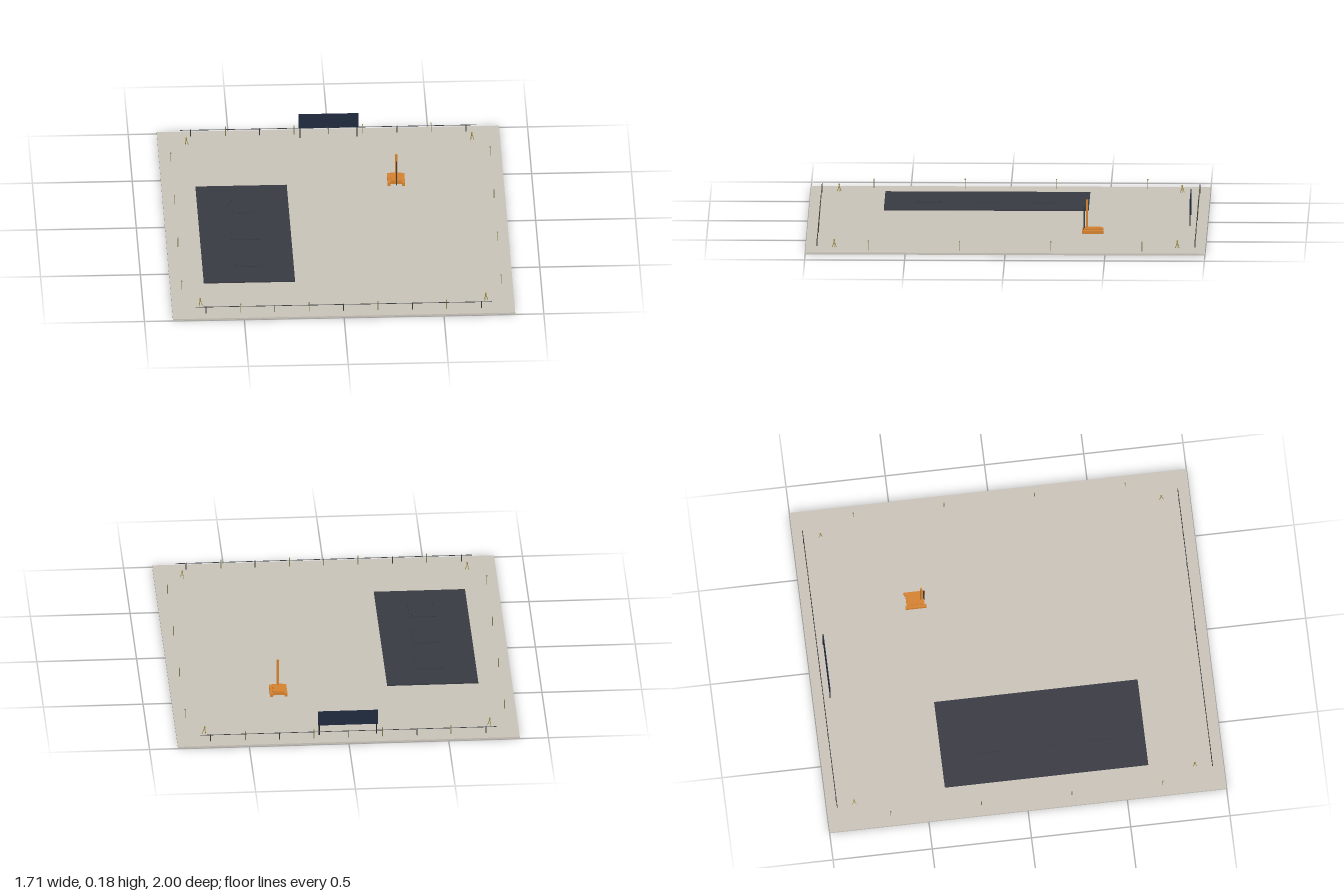
import * as THREE from 'three';

const mat = (color) => new THREE.MeshStandardMaterial({ color });
const M = {
  ground: mat(0xc8c2b8), pad: mat(0x383a42), steel: mat(0x3a3d40), panel: mat(0x1e2a3e),
  orange: mat(0xd4812f), pole: mat(0x8f8a5a), brass: mat(0x9a8a3c), dark: mat(0x222222),
};
const G = 0.01; // ground surface height

// Box given by its bottom centre
function box(parent, name, m, w, h, d, x, y, z) {
  const mesh = new THREE.Mesh(new THREE.BoxGeometry(w, h, d), m);
  mesh.position.set(x, y + h / 2, z);
  mesh.name = name;
  parent.add(mesh);
  return mesh;
}

// Round bar between two points
function bar(parent, name, m, r, a, b) {
  const p = new THREE.Vector3(...a), q = new THREE.Vector3(...b);
  const mesh = new THREE.Mesh(new THREE.CylinderGeometry(r, r, p.distanceTo(q), 8), m);
  mesh.position.copy(p).add(q).multiplyScalar(0.5);
  mesh.quaternion.setFromUnitVectors(new THREE.Vector3(0, 1, 0), q.sub(p).normalize());
  mesh.name = name;
  parent.add(mesh);
}

function group(parent, name, x = 0, y = 0, z = 0) {
  const g = new THREE.Group();
  g.name = name;
  g.position.set(x, y, z);
  parent.add(g);
  return g;
}

// Slim post with a small cap
function cappedPost(parent, x, z) {
  const g = group(parent, 'perimeterPost', x, G, z);
  bar(g, 'postShaft', M.pole, 0.0018, [0, 0, 0], [0, 0.046, 0]);
  box(g, 'postCap', M.pole, 0.006, 0.005, 0.006, 0, 0.045, 0);
}

export function createModel() {
  const model = new THREE.Group();
  model.name = 'siteYard';
  box(model, 'ground', M.ground, 1.714, G, 2, 0, 0, 0);

  // Foundation pad with three plinths and their anchor bolts
  const pad = group(model, 'foundation');
  box(pad, 'foundationPad', M.pad, 0.457, 0.007, 1.025, -0.459, G, 0.113);
  for (const z of [0.4, 0.113, -0.173]) {
    const plinth = group(pad, 'plinth', -0.459, 0.017, z);
    box(plinth, 'plinthSlab', M.pad, 0.14, 0.004, 0.14, 0, 0, 0);
    for (const sx of [-1, 1]) for (const sz of [-1, 1])
      bar(plinth, 'anchorBolt', M.steel, 0.0018, [sx * 0.055, 0.003, sz * 0.055], [sx * 0.055, 0.01, sz * 0.055]);
  }

  // Sign panel on two legs
  const sign = group(model, 'signBoard', 0, G, -0.914);
  box(sign, 'signPanel', M.panel, 0.3, 0.077, 0.005, 0, 0.054, 0);
  for (const x of [-0.143, 0.143]) box(sign, 'signLeg', M.dark, 0.006, 0.058, 0.005, x, 0, 0);

  // Tracked drilling machine
  const rig = group(model, 'drillRig', 0.318, G, -0.43);
  for (const s of [-1, 1]) box(rig, 'track', M.orange, 0.015, 0.017, 0.106, s * 0.036, 0, 0);
  box(rig, 'chassis', M.orange, 0.058, 0.017, 0.09, 0, 0.006, -0.001);
  box(rig, 'deck', M.orange, 0.05, 0.006, 0.08, 0, 0.02, 0);
  box(rig, 'mast', M.orange, 0.011, 0.142, 0.01, 0, 0.024, 0.03);
  bar(rig, 'drillRod', M.steel, 0.003, [0, 0, 0.043], [0, 0.132, 0.043]);

  // Rail fences along the front and back edges
  for (const z of [-0.948, 0.943]) {
    const fence = group(model, 'railFence', 0, G, z);
    bar(fence, 'rail', M.steel, 0.0018, [-0.743, 0.035, 0], [0.743, 0.035, 0]);
    for (let i = -2; i <= 2; i++)
      bar(fence, 'fencePost', M.steel, 0.0022, [i * 0.345, 0, 0], [i * 0.345, 0.038, 0]);
    for (const x of [-0.515, -0.172, 0.172, 0.515]) cappedPost(model, x, z);
  }

  // Posts along the two long sides
  for (const x of [-0.8, 0.8])
    for (const z of [-0.685, -0.228, 0.228, 0.685]) cappedPost(model, x, z);

  // Survey tripods near the corners
  for (const x of [-0.715, 0.715]) for (const z of [-0.86, 0.857]) {
    const tripod = group(model, 'surveyTripod', x, G, z);
    for (let i = 0; i < 3; i++) {
      const a = i * Math.PI * 2 / 3;
      bar(tripod, 'tripodLeg', M.brass, 0.0015,
        [Math.cos(a) * 0.011, 0, Math.sin(a) * 0.011], [0, 0.031, 0]);
    }
    box(tripod, 'tripodHead', M.brass, 0.007, 0.009, 0.007, 0, 0.03, 0);
  }
  return model;
}
